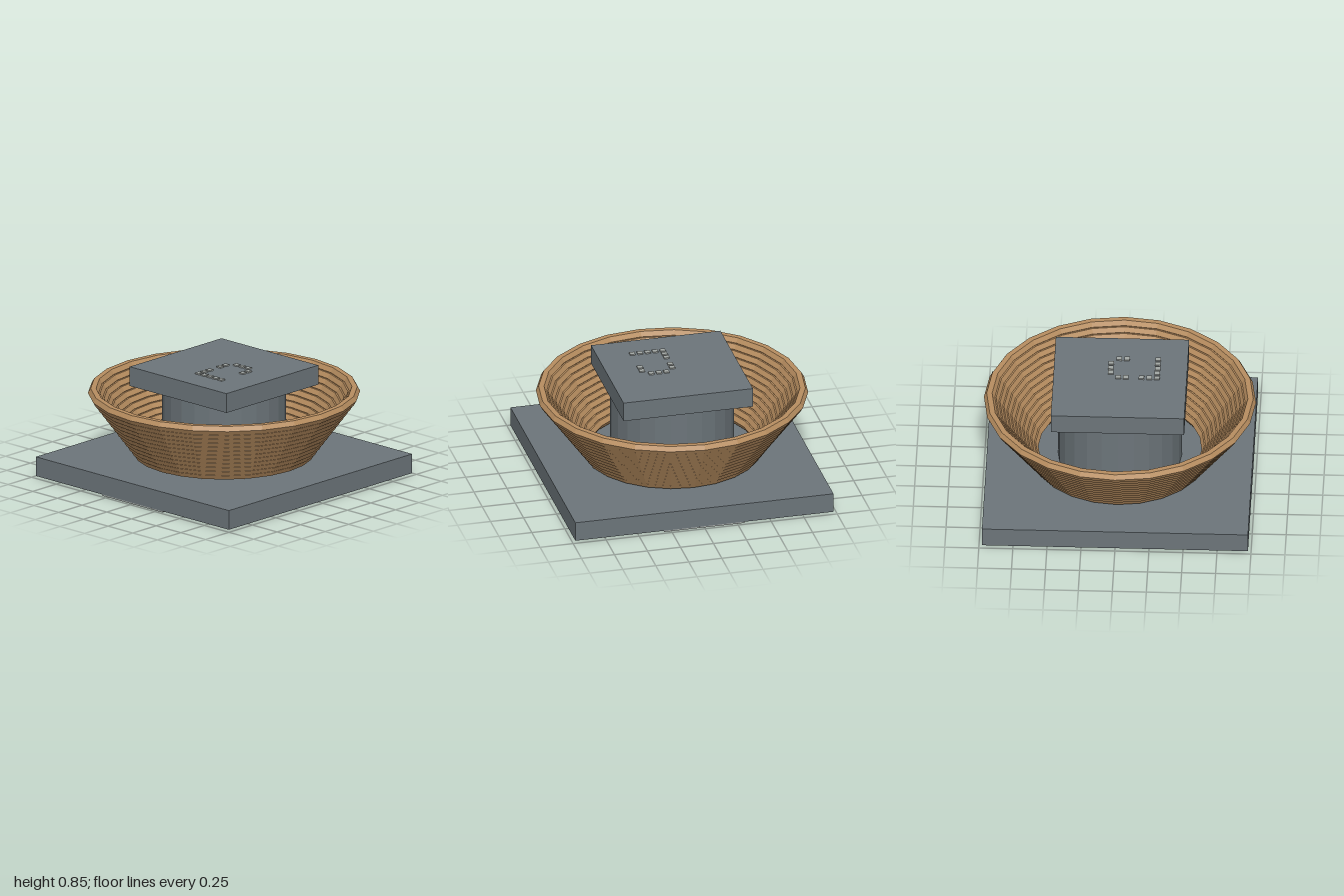
import * as THREE from 'three';

export function createModel() {
  const model = new THREE.Group();
  model.name = 'bowlOnStand';

  const mat = (name, color) => {
    const m = new THREE.MeshStandardMaterial({ color, flatShading: true });
    m.name = name;
    return m;
  };
  const slate = mat('slate grey', 0x6c757a);
  const wood = mat('coiled wood', 0xb88e60);
  const pale = mat('pale grey', 0xa3a8a5);

  const add = (name, geometry, material, x, y, z, parent = model) => {
    const mesh = new THREE.Mesh(geometry, material);
    mesh.name = name;
    mesh.position.set(x, y, z);
    parent.add(mesh);
    return mesh;
  };

  // Square base, round pillar and square cap
  add('base', new THREE.BoxGeometry(1.955, 0.147, 1.955), slate, 0, 0.0835, 0);
  add('pillar', new THREE.CylinderGeometry(0.455, 0.455, 0.543, 24), slate, 0, 0.4265, 0);
  add('cap', new THREE.BoxGeometry(0.98, 0.148, 0.98), slate, 0, 0.77, 0);

  // Thin pads under the left and right edges of the base
  for (const side of [-1, 1]) {
    add(side > 0 ? 'leftPad' : 'rightPad', new THREE.BoxGeometry(0.452, 0.0099, 0.61), pale, side * 0.7515, 0.005, 0);
  }

  // Flared bowl of stacked six-sided coils, open at top and bottom
  const bowl = new THREE.Group();
  bowl.name = 'bowl';
  model.add(bowl);
  const coils = 12;
  for (let i = 0; i < coils; i++) {
    const t = i / (coils - 1);
    const ring = new THREE.TorusGeometry(0.64 + 0.32 * t, 0.04, 6, 24).rotateX(Math.PI / 2);
    add('coil', ring, wood, 0, 0.208 + 0.437 * t, 0, bowl);
  }

  // Small studs in a broken dotted border on the cap
  const studs = new THREE.Group();
  studs.name = 'studs';
  model.add(studs);
  const studGeometry = new THREE.BoxGeometry(0.04, 0.0095, 0.04);
  const stud = (col, row) =>
    add('stud', studGeometry, pale, -0.272 + col * 0.0572, 0.8487, 0.003 + row * 0.0572, studs);
  for (const col of [1, 2, 4, 5]) stud(col, 0);
  for (let row = 0; row < 5; row++) stud(0, row);
  for (let row = 1; row < 4; row++) stud(6, row);
  for (const col of [4, 5]) stud(col, 4);

  return model;
}
